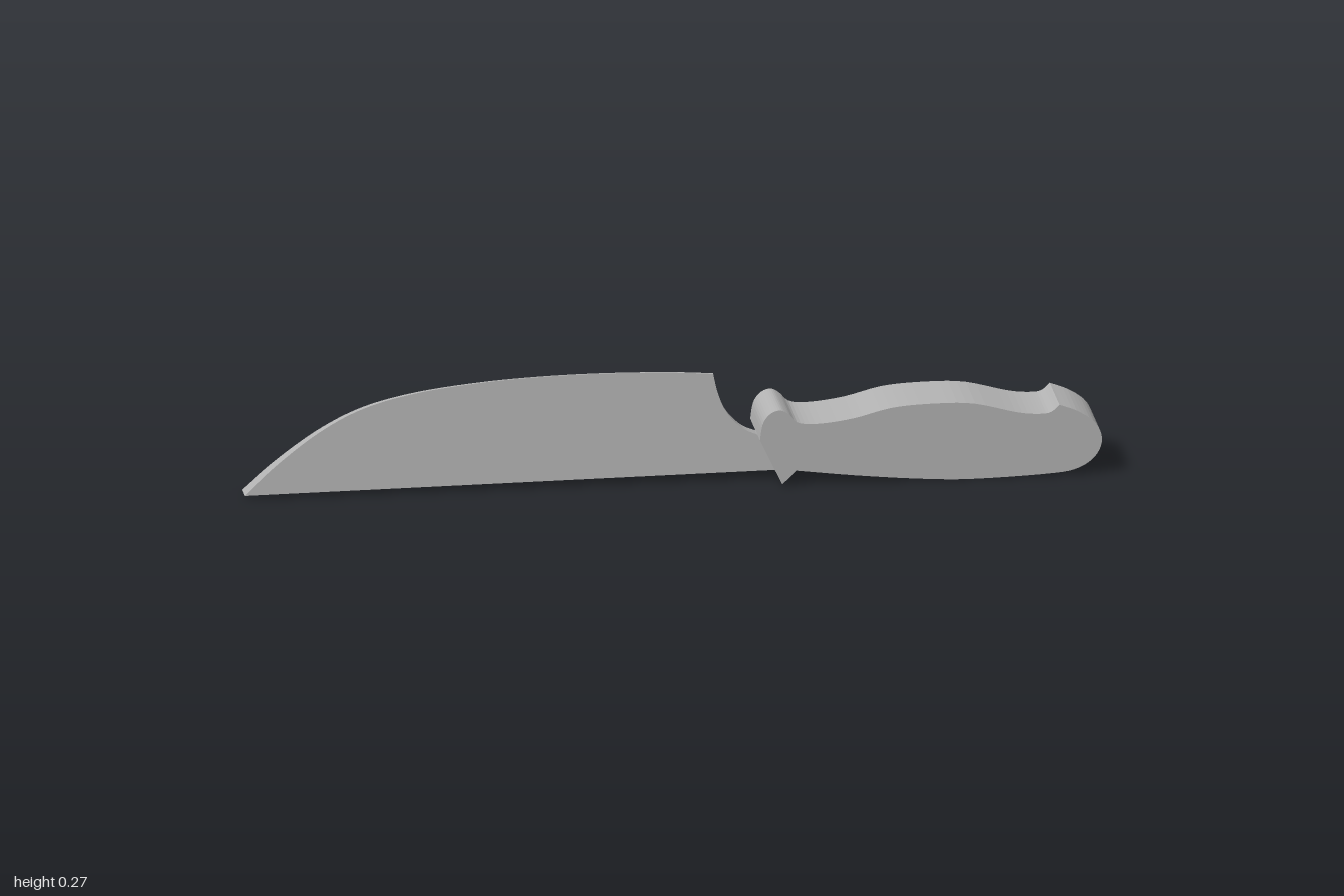
import * as THREE from 'three';

const steel = new THREE.MeshStandardMaterial({ color: 0xb3b3b3 });
steel.name = 'plain grey';

// Extrude an outline symmetrically about z = 0
function slab(shape, halfDepth, curveSegments) {
  const g = new THREE.ExtrudeGeometry(shape, { depth: 2 * halfDepth, bevelEnabled: false, curveSegments });
  return g.translate(0, 0, -halfDepth);
}

const points = (list) => list.map(([x, y]) => new THREE.Vector2(x, y));

export function createModel() {
  const model = new THREE.Group();
  model.name = 'knife';

  // Blade: straight lower edge, bowed upper edge, hollow notch at the heel
  const bladeShape = new THREE.Shape();
  bladeShape.moveTo(-1, 0.01);
  bladeShape.lineTo(0.24, 0.022);
  bladeShape.lineTo(0.27, 0.04);
  bladeShape.lineTo(0.27, 0.1);
  bladeShape.lineTo(0.2, 0.108);
  bladeShape.splineThru(points([[0.165, 0.125], [0.13, 0.163], [0.11, 0.21], [0.1, 0.255]]));
  bladeShape.splineThru(points([[0, 0.262], [-0.15, 0.266], [-0.3, 0.264], [-0.45, 0.255],
    [-0.6, 0.236], [-0.72, 0.205], [-0.82, 0.155], [-0.92, 0.082], [-1, 0.01]]));
  const bladeGeo = slab(bladeShape, 1, 6);

  // Taper the blade from a thick lower edge to a thin upper one
  const p = bladeGeo.attributes.position;
  for (let i = 0; i < p.count; i++) {
    p.setZ(i, p.getZ(i) * (0.002 + 0.087 * (0.266 - p.getY(i))));
  }
  bladeGeo.computeVertexNormals();
  const blade = new THREE.Mesh(bladeGeo, steel);
  blade.name = 'blade';
  model.add(blade);

  // Handle: guard lobe, swelling grip and rounded butt
  const grip = new THREE.Shape();
  grip.moveTo(0.25, 0.006);
  grip.lineTo(0.198, 0.115);
  grip.splineThru(points([[0.205, 0.155], [0.222, 0.178], [0.245, 0.186], [0.265, 0.176],
    [0.29, 0.154], [0.34, 0.15], [0.42, 0.16], [0.51, 0.182], [0.61, 0.188], [0.7, 0.184],
    [0.8, 0.159], [0.85, 0.153], [0.88, 0.156], [0.9, 0.173]]));
  grip.splineThru(points([[0.945, 0.155], [0.985, 0.125], [1, 0.085], [0.985, 0.046],
    [0.945, 0.018], [0.88, 0.007], [0.7, 0.001], [0.58, 0.006], [0.43, 0.02], [0.285, 0.038]]));
  grip.lineTo(0.25, 0.006);
  const handle = new THREE.Mesh(slab(grip, 0.086, 4), steel);
  handle.name = 'handle';
  model.add(handle);

  return model;
}
